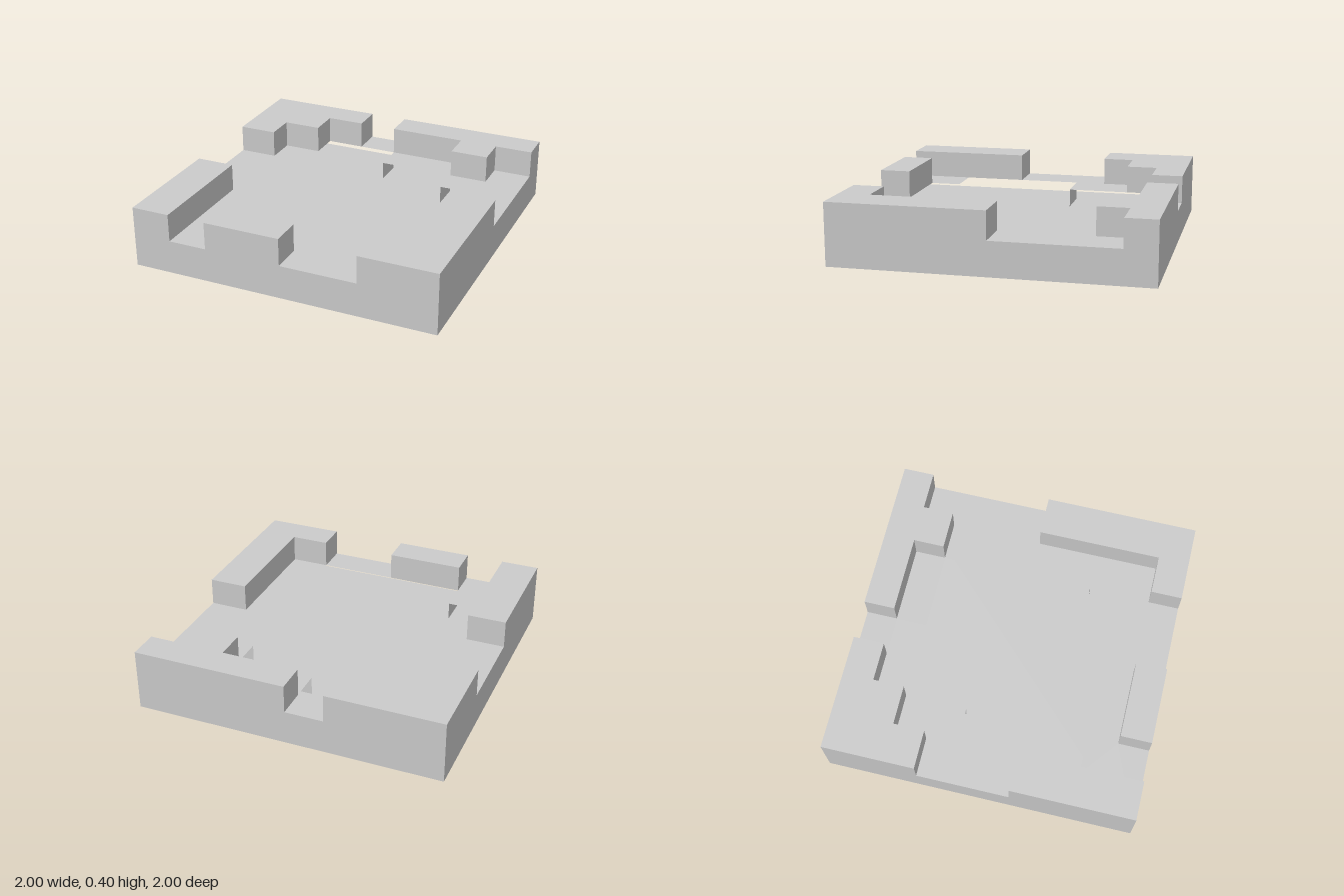
import * as THREE from 'three';

const FLOOR = 0.1, LEDGE = 0.22, TOP = 0.4;

// Plan outlines are [x, z] corners; shapes are drawn in x, -z and laid flat.
const toPoints = (plan) => plan.map(([x, z]) => new THREE.Vector2(x, -z));
const rect = (x0, x1, z0, z1) => [[x0, z0], [x1, z0], [x1, z1], [x0, z1]];

export function createModel() {
  const model = new THREE.Group();
  model.name = 'steppedTile';
  const material = new THREE.MeshStandardMaterial({ color: 0xcccccc, flatShading: true });

  // Raises a plan outline from one height to another
  function addBlock(name, plan, bottom, top, hole) {
    const shape = new THREE.Shape(toPoints(plan));
    if (hole) shape.holes.push(new THREE.Path(toPoints(hole)));
    const geometry = new THREE.ExtrudeGeometry(shape, { depth: top - bottom, bevelEnabled: false });
    geometry.rotateX(-Math.PI / 2).translate(0, bottom, 0);
    const mesh = new THREE.Mesh(geometry, material);
    mesh.name = name;
    model.add(mesh);
  }

  // Base slab, whose top is the sunken floor
  addBlock('floor', rect(-1, 1, -1, 1), 0, FLOOR);

  // Low ledge running all round the stepped floor opening
  const opening = [
    [-0.5, -0.8], [0, -0.8], [0, -0.6], [0.5, -0.6], [0.5, -0.4], [0.75, -0.4], [0.75, 0.4],
    [0.5, 0.4], [0.5, 0.8], [-0.5, 0.8], [-0.5, 0.6], [-0.75, 0.6], [-0.75, -0.2], [-0.5, -0.2],
  ];
  addBlock('ledge', rect(-1, 1, -1, 1), FLOOR, LEDGE, opening);

  // Tall wall sections, separated by gaps
  const walls = {
    backRightWall: [
      [-1, -1], [-0.25, -1], [-0.25, -0.8], [-0.5, -0.8],
      [-0.5, -0.6], [-0.75, -0.6], [-0.75, -0.4], [-1, -0.4],
    ],
    backLeftWall: [
      [0, -1], [1, -1], [1, -0.8], [0.75, -0.8],
      [0.75, -0.6], [0.5, -0.6], [0.5, -0.8], [0, -0.8],
    ],
    frontLeftWall: [[0.75, 0], [1, 0], [1, 1], [0.5, 1], [0.5, 0.8], [0.75, 0.8]],
    frontWall: rect(-0.5, 0, 0.8, 1),
    frontRightWall: rect(-1, -0.75, 0.2, 1),
  };
  for (const [name, plan] of Object.entries(walls)) addBlock(name, plan, LEDGE, TOP);

  return model;
}
